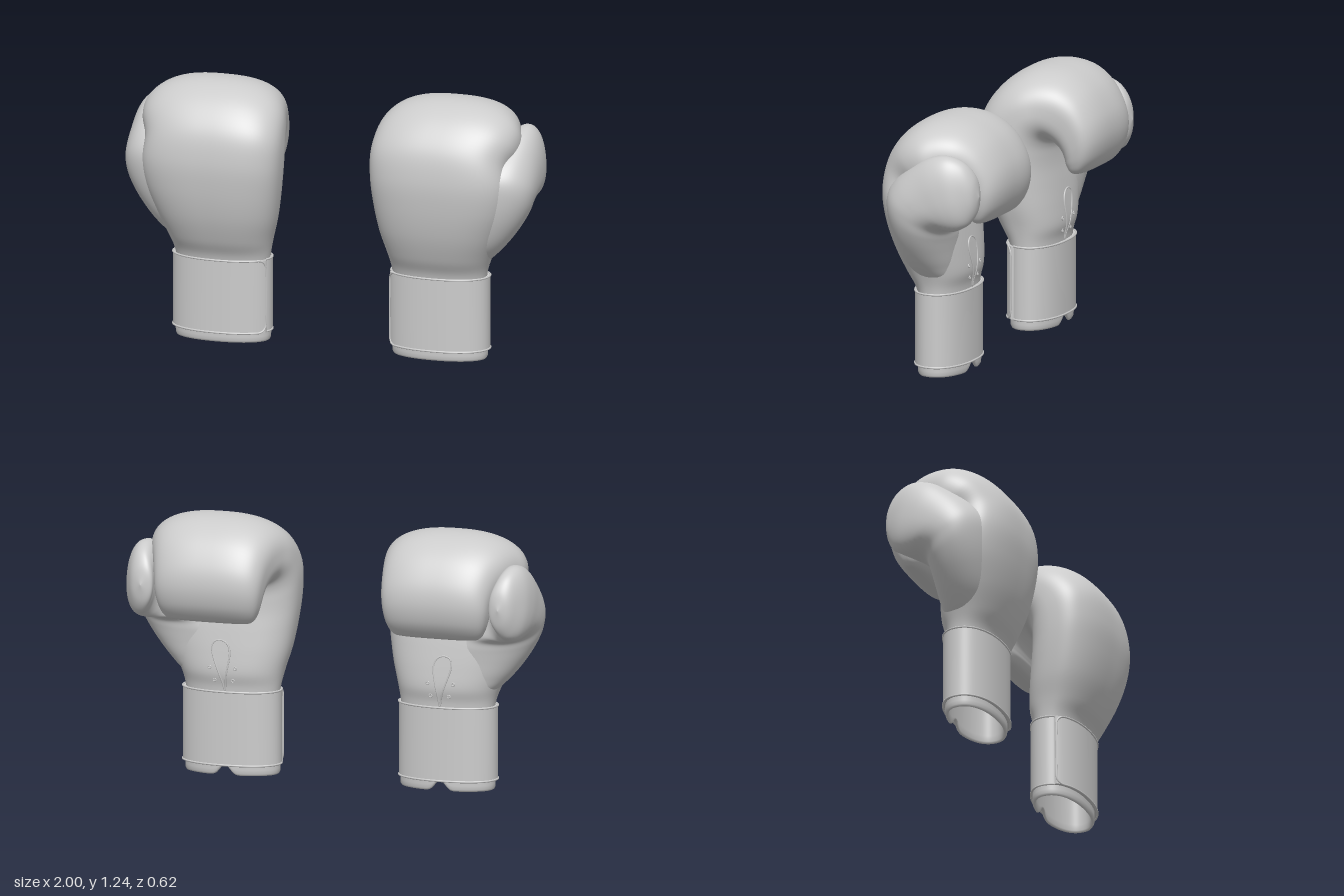
import * as THREE from 'three';

const MAT = new THREE.MeshStandardMaterial({ color: 0xcccccc, side: THREE.DoubleSide });
const TAU = Math.PI * 2;
const power = (v, n) => Math.sign(v) * Math.pow(Math.abs(v), 2 / n);

// Smooth surface through closed rings; f(i, th) gives a point on ring i
function skin(rings, segs, f) {
  const pos = [], idx = [];
  for (let i = 0; i <= rings; i++)
    for (let j = 0; j < segs; j++) pos.push(...f(i, (j / segs) * TAU).toArray());
  for (let i = 0; i < rings; i++)
    for (let j = 0; j < segs; j++) {
      const k = (j + 1) % segs, a = i * segs + j, b = i * segs + k;
      idx.push(a, b, a + segs, b, b + segs, a + segs);
    }
  const g = new THREE.BufferGeometry();
  g.setAttribute('position', new THREE.Float32BufferAttribute(pos, 3));
  g.setIndex(idx);
  g.computeVertexNormals();
  return g;
}

// Stations: [outer z, outer y, inner z, inner y, low x, high x]
function section(stations, exponent) {
  const outer = new THREE.CatmullRomCurve3(stations.map(s => new THREE.Vector3(s[4], s[1], s[0])), false, 'catmullrom', 0.5);
  const inner = new THREE.CatmullRomCurve3(stations.map(s => new THREE.Vector3(s[5], s[3], s[2])), false, 'catmullrom', 0.5);
  return (u, th) => {
    const o = outer.getPoint(u), q = inner.getPoint(u), n = exponent(u);
    const c = power(Math.cos(th), n) / 2, s = power(Math.sin(th), n) / 2;
    return new THREE.Vector3((o.x + q.x) / 2 + (q.x - o.x) * s,
      (o.y + q.y) / 2 + (o.y - q.y) * c, (o.z + q.z) / 2 + (o.z - q.z) * c);
  };
}

const HAND = [
  [0.165, 0.34, -0.055, 0.34, 0.31, 0.75], [0.183, 0.42, -0.06, 0.42, 0.30, 0.76],
  [0.225, 0.5, -0.075, 0.49, 0.285, 0.785], [0.27, 0.62, -0.07, 0.58, 0.258, 0.83],
  [0.30, 0.76, -0.058, 0.68, 0.238, 0.875], [0.31, 0.9, -0.045, 0.77, 0.225, 0.892],
  [0.285, 1.04, -0.04, 0.84, 0.22, 0.88], [0.21, 1.15, -0.045, 0.87, 0.225, 0.91],
  [0.11, 1.217, -0.055, 0.885, 0.235, 0.918], [0, 1.238, -0.07, 0.885, 0.252, 0.90],
  [-0.12, 1.215, -0.085, 0.87, 0.27, 0.875], [-0.22, 1.145, -0.1, 0.85, 0.285, 0.845],
  [-0.285, 1.04, -0.11, 0.83, 0.295, 0.825], [-0.305, 0.94, -0.115, 0.81, 0.305, 0.815],
  [-0.288, 0.845, -0.12, 0.79, 0.32, 0.80], [-0.245, 0.778, -0.138, 0.768, 0.345, 0.775],
  [-0.212, 0.759, -0.162, 0.757, 0.39, 0.73], [-0.186, 0.755, -0.186, 0.755, 0.56, 0.56],
];
const THUMB = [
  [0.055, 0.44, 0.055, 0.44, 0.67, 0.67], [0.12, 0.465, -0.02, 0.47, 0.58, 0.755],
  [0.19, 0.56, -0.04, 0.54, 0.52, 0.845], [0.225, 0.68, -0.05, 0.62, 0.50, 0.922],
  [0.24, 0.8, -0.058, 0.68, 0.50, 0.972], [0.23, 0.9, -0.065, 0.718, 0.55, 0.993],
  [0.175, 0.97, -0.09, 0.737, 0.65, 1.0], [0.08, 1.04, -0.12, 0.742, 0.75, 1.0],
  [-0.01, 1.09, -0.15, 0.752, 0.80, 0.997], [-0.1, 1.105, -0.18, 0.768, 0.825, 0.985],
  [-0.18, 1.075, -0.21, 0.79, 0.83, 0.958], [-0.23, 1.01, -0.237, 0.84, 0.832, 0.927],
  [-0.252, 0.92, -0.252, 0.92, 0.88, 0.88],
];
// Boxier toward the hand, a little rounder over the knuckles
const handExponent = u => 2.2 + 0.6 * Math.min(1, u * 3) - 0.35 * Math.exp(-(((u - 0.48) / 0.12) ** 2));

// Oval wrist outline, widened by off
const wrist = (th, y, off) => new THREE.Vector3(
  0.53 + (0.235 + off) * power(Math.sin(th), 2.2), y, 0.055 + (0.125 + off) * power(Math.cos(th), 2.2));

// The strap wraps once, its free end lying on top at angle END
const END = -1.18;
const wrap = th => 0.01 * (1 - ((((th - END) % TAU) + TAU) % TAU) / TAU);

function tube(points, r, closed = false) {
  return new THREE.TubeGeometry(new THREE.CatmullRomCurve3(points, closed), points.length * 3, r, 6, closed);
}

function buildGlove() {
  const glove = new THREE.Group();
  const add = (name, geometry) => {
    const m = new THREE.Mesh(geometry, MAT);
    m.name = name;
    glove.add(m);
  };

  // Padded hand curling over to the fingertips, and the thumb
  const hand = section(HAND, handExponent);
  add('hand', skin(110, 96, (i, th) => hand(i / 110, th)));
  const thumb = section(THUMB, () => 2.2);
  add('thumb', skin(84, 64, (i, th) => thumb(i / 84, th)));

  // Hollow cuff liner with a notch at the palm side: [offset, y]
  const liner = [[-0.006, 0.09], [-0.006, 0.03], [-0.007, 0.012], [-0.012, 0.003],
    [-0.018, 0.003], [-0.023, 0.012], [-0.024, 0.04], [-0.026, 0.345]].reverse();
  add('cuffLiner', skin(liner.length - 1, 128, (i, th) => {
    const [off, y] = liner[i];
    const notch = 0.05 * Math.exp(-(((th - Math.PI) / 0.13) ** 2));
    return wrist(th, y < 0.05 ? y + notch * (1 - y / 0.06) : y, off);
  }));

  // Strap; doubled points keep its edges crisp
  const strap = [[-0.02, 0.052], [0, 0.052], [0, 0.052], [0, 0.4], [0, 0.4], [-0.04, 0.4]];
  add('wristStrap', skin(strap.length - 1, 144, (i, th) => wrist(th, strap[i][1], strap[i][0] + wrap(th))));

  // Piping along both strap edges and around the rounded free end
  const edge = [], on = (s, y) => edge.push(wrist(END + s, y, wrap(END + s)));
  const last = TAU - 0.05, r = 0.04, sr = 0.25;
  for (let i = 0; i <= 50; i++) on(last + (sr - last) * i / 50, 0.052);
  for (let i = 1; i <= 5; i++) {
    const a = i / 5 * Math.PI / 2;
    on(0.02 + sr * (1 - Math.sin(a)), 0.052 + r * (1 - Math.cos(a)));
  }
  for (let i = 5; i >= 1; i--) {
    const a = i / 5 * Math.PI / 2;
    on(0.02 + sr * (1 - Math.sin(a)), 0.4 - r * (1 - Math.cos(a)));
  }
  for (let i = 0; i <= 50; i++) on(sr + (last - sr) * i / 50, 0.4);
  add('strapPiping', tube(edge, 0.005));

  // Point on the palm: k counts stations up, dx is the offset from the middle
  const palm = (k, dx, lift) => {
    const u = k / (HAND.length - 1);
    const th = Math.PI - Math.sign(dx) * Math.asin(Math.pow(Math.abs(dx) / 0.25, handExponent(u) / 2));
    const p = hand(u, th);
    p.z -= lift;
    return p;
  };

  // Teardrop lacing gap with its tongue
  const rim = (lift, scale) => Array.from({ length: 32 }, (_, i) => {
    const a = (i / 32) * TAU, t = (1 - Math.cos(a)) / 2;
    return palm(0.8 + 2.85 * t, scale * Math.sin(a) * (0.008 + 0.06 * t * t), lift);
  });
  add('lacingGapEdge', tube(rim(0.002, 1), 0.004, true));
  const tongue = new THREE.BufferGeometry(), faces = [];
  for (let i = 0; i < 16; i++) {
    const a = i, b = i + 1, c = (32 - i) % 32, d = 31 - i;
    faces.push(a, b, c, b, d, c);
  }
  tongue.setFromPoints(rim(0.003, 0.97));
  tongue.setIndex(faces);
  tongue.computeVertexNormals();
  add('tongue', tongue);

  // Eyelets beside the gap
  for (const side of [-1, 1])
    for (const [k, dx] of [[1.5, 0.047], [2.3, 0.06]]) {
      const g = new THREE.TorusGeometry(0.007, 0.003, 8, 16);
      const p = palm(k, side * dx, 0.001);
      g.translate(p.x, p.y, p.z);
      add('eyelet', g);
    }
  return glove;
}

// Mirrored copy with face order reversed
function mirror(glove) {
  const copy = new THREE.Group();
  for (const part of glove.children) {
    const g = part.geometry.clone().applyMatrix4(new THREE.Matrix4().makeScale(-1, 1, 1));
    const ix = g.index;
    for (let i = 0; i < ix.count; i += 3) {
      const t = ix.getX(i);
      ix.setX(i, ix.getX(i + 1));
      ix.setX(i + 1, t);
    }
    const m = new THREE.Mesh(g, MAT);
    m.name = part.name;
    copy.add(m);
  }
  return copy;
}

export function createModel() {
  const model = new THREE.Group();
  model.name = 'boxingGloves';
  const left = buildGlove();
  left.name = 'leftGlove';
  const right = mirror(left);
  right.name = 'rightGlove';
  model.add(left, right);
  return model;
}
